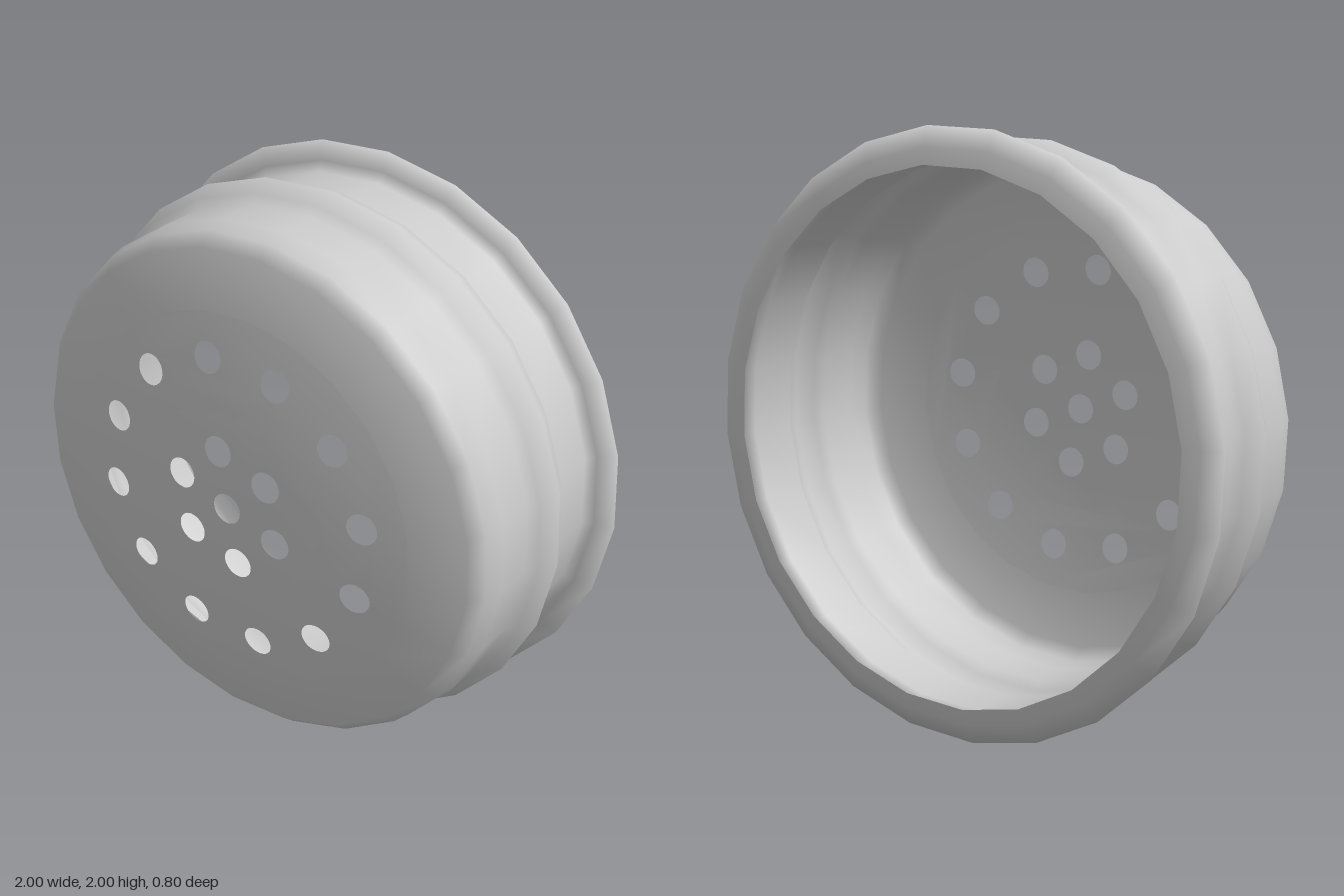
import * as THREE from 'three';

const SIDES = 24;
const TURN = THREE.MathUtils.degToRad(10.3); // every ring shares this rotation
const dish = (r) => 0.4 - 0.13 * r * r; // gentle dome of the front plate

const ring = (radius, count, start = TURN) =>
  Array.from({ length: count }, (_, i) => {
    const a = start + (i / count) * Math.PI * 2;
    return new THREE.Vector2(radius * Math.cos(a), radius * Math.sin(a));
  });

// Flat outline with round holes, pushed onto the dome, with smooth dome normals
function domedPlate(outer, inner, holeCentres) {
  const shape = new THREE.Shape(ring(outer, SIDES));
  if (inner) shape.holes.push(new THREE.Path(ring(inner, SIDES)));
  for (const c of holeCentres) {
    const hole = new THREE.Path();
    hole.absarc(c.x, c.y, 0.053, 0, Math.PI * 2, true);
    shape.holes.push(hole);
  }
  const geo = new THREE.ShapeGeometry(shape, 16);
  const pos = geo.attributes.position;
  const normal = new THREE.Vector3();
  for (let i = 0; i < pos.count; i++) {
    const x = pos.getX(i), y = pos.getY(i);
    pos.setZ(i, dish(Math.hypot(x, y)));
    normal.set(0.26 * x, 0.26 * y, 1).normalize();
    geo.attributes.normal.setXYZ(i, normal.x, normal.y, normal.z);
  }
  return geo;
}

export function createModel() {
  const group = new THREE.Group();
  group.name = 'shakerLid';
  const material = new THREE.MeshStandardMaterial({ color: 0xcccccc, side: THREE.DoubleSide });
  const add = (name, geometry) => {
    const mesh = new THREE.Mesh(geometry, material);
    mesh.name = name;
    mesh.position.y = 1;
    group.add(mesh);
  };

  // Perforated front: centre hole, ring of six, ring of twelve
  const innerHoles = [new THREE.Vector2(0, 0), ...ring(0.2, 6, TURN + Math.PI / 6)];
  add('plateCentre', domedPlate(0.36, 0, innerHoles));
  add('plateRing', domedPlate(0.66, 0.36, ring(0.51, 12)));

  // Thin shell from the rolled rear rim, over the bead, to the front shoulder: [radius, z]
  const profile = [
    [0.88, -0.4], [0.935, -0.388], [1.003, -0.36], [0.94, -0.337], [0.905, -0.32],
    [0.905, -0.14], [0.935, -0.115], [0.967, -0.045], [0.935, 0.02], [0.905, 0.045],
    [0.905, 0.19], [0.89, 0.26], [0.85, 0.306], [0.66, dish(0.66)],
  ].map(([r, z]) => new THREE.Vector2(r, z));
  const shell = new THREE.LatheGeometry(profile, SIDES, TURN);
  shell.rotateX(Math.PI / 2);
  add('shell', shell);

  return group;
}
